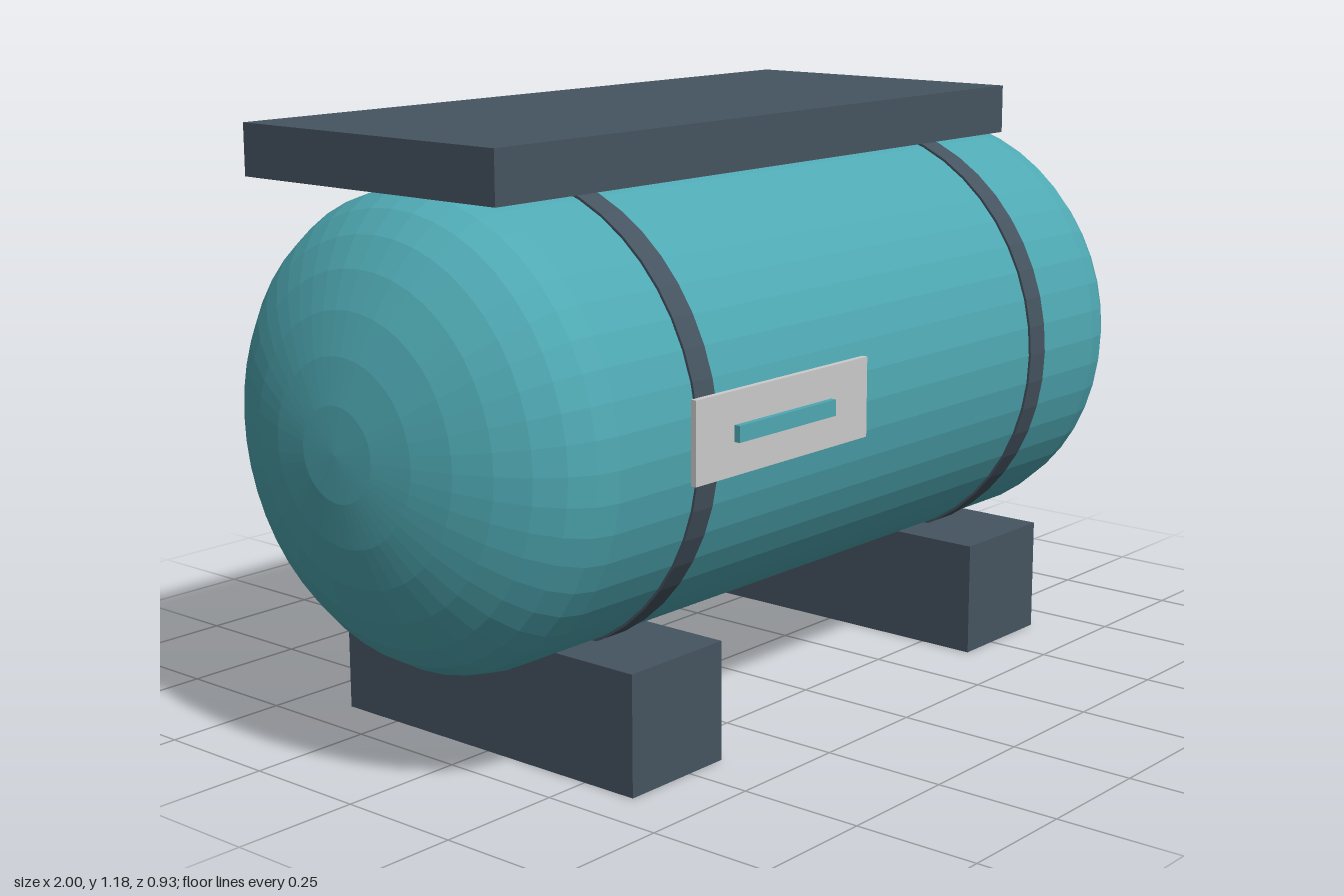
import * as THREE from 'three';

const AXIS_Y = 0.637, AXIS_Z = -0.01, RADIUS = 0.448, SIDES = 48;

const teal = new THREE.MeshStandardMaterial({ color: 0x4fa9b3, flatShading: true });
const slate = new THREE.MeshStandardMaterial({ color: 0x455460, flatShading: true });
const grey = new THREE.MeshStandardMaterial({ color: 0xcccccc, flatShading: true });

export function createModel() {
  const model = new THREE.Group();
  model.name = 'horizontalTank';

  const add = (name, geometry, material, x, y, z) => {
    const mesh = new THREE.Mesh(geometry, material);
    mesh.name = name;
    mesh.position.set(x, y, z);
    model.add(mesh);
    return mesh;
  };

  // Box given by its lower and upper bounds on each axis
  const addBox = (name, material, [x0, x1], [y0, y1], [z0, z1]) =>
    add(name, new THREE.BoxGeometry(x1 - x0, y1 - y0, z1 - z0), material,
      (x0 + x1) / 2, (y0 + y1) / 2, (z0 + z1) / 2);

  // Tank: straight barrel with two half-ellipse ends, turned onto the x axis
  const capSteps = 8, straight = 0.76, capDepth = 0.24;
  const profile = [];
  for (const side of [-1, 1]) {
    for (let i = 0; i <= capSteps; i++) {
      const a = (side < 0 ? i : capSteps - i) / capSteps * Math.PI / 2;
      profile.push(new THREE.Vector2(RADIUS * Math.sin(a),
        side * (straight + capDepth * Math.cos(a))));
    }
  }
  const tank = new THREE.LatheGeometry(profile, SIDES).rotateZ(-Math.PI / 2);
  add('tank', tank, teal, 0, AXIS_Y, AXIS_Z);

  // Strap and saddle foot on each side
  for (const [side, label] of [[1, 'left'], [-1, 'right']]) {
    const strap = new THREE.CylinderGeometry(RADIUS + 0.005, RADIUS + 0.005, 0.054, SIDES)
      .rotateZ(-Math.PI / 2);
    add(label + 'Strap', strap, slate, side * 0.533, AXIS_Y, AXIS_Z);
    const foot = side * 0.533;
    addBox(label + 'Foot', slate, [foot - 0.124, foot + 0.124], [0, 0.233], [-0.382, 0.368]);
  }

  // Mounting plate on top
  addBox('topPlate', slate, [-0.917, 0.578], [1.088, 1.185], [-0.322, 0.31]);

  // Label plate with its raised bar on the front
  addBox('labelPlate', grey, [-0.583, -0.085], [0.575, 0.73], [0.443, 0.455]);
  addBox('labelBar', teal, [-0.478, -0.197], [0.637, 0.668], [0.455, 0.467]);

  return model;
}
